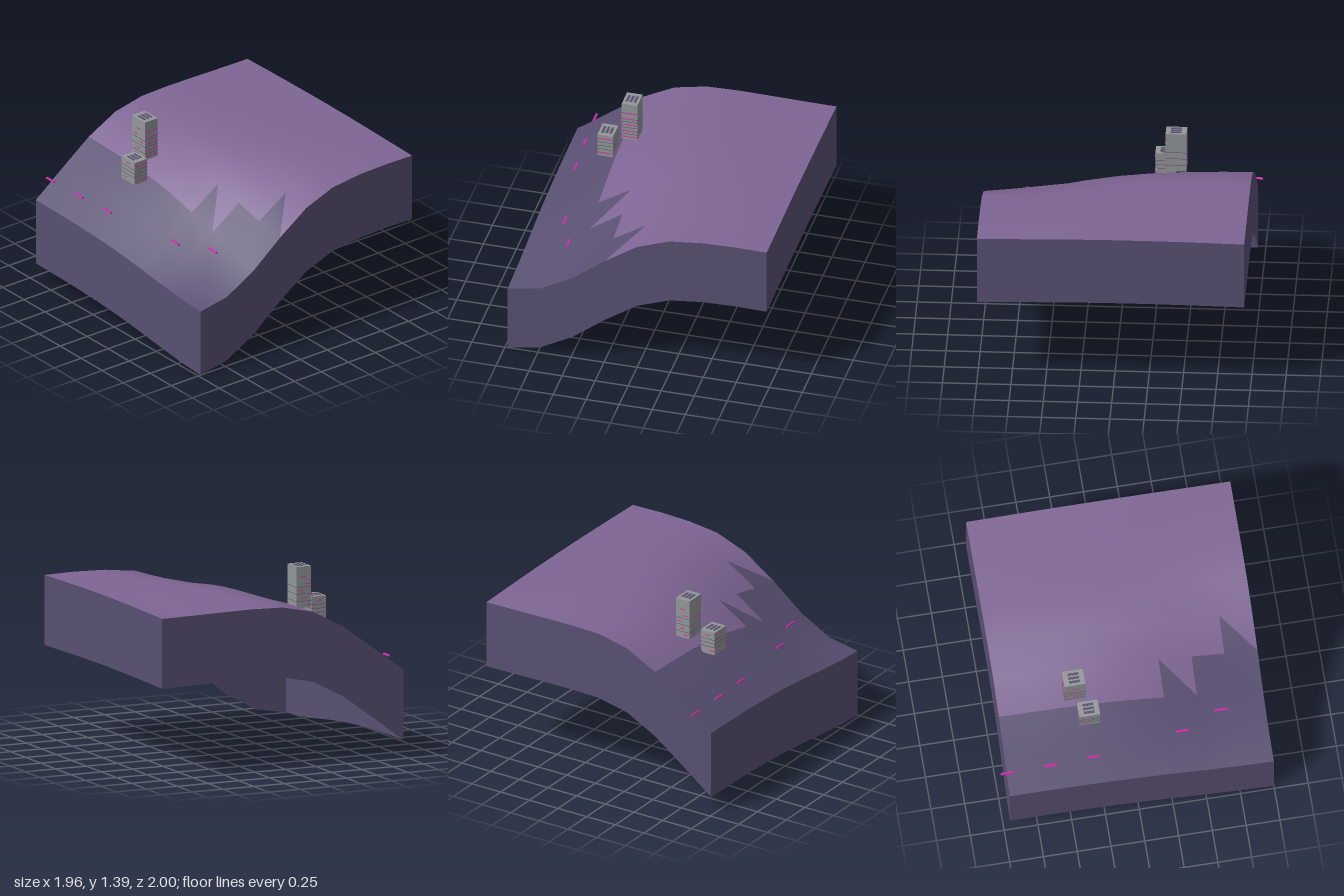
import * as THREE from 'three';

const N = 8, X0 = -0.98, Z0 = -0.955, STEP_X = 1.96 / N, STEP_Z = 1.955 / N, DEPTH = 0.52;

// Height profiles along the front and back edges, blended from row to row
const FRONT = [0.525, 0.57, 0.705, 0.9, 1.068, 1.16, 1.188, 1.195, 1.19];
const BACK = [0.655, 0.84, 1.02, 1.148, 1.2, 1.207, 1.204, 1.2, 1.197];
const BLEND = [1, 0.98, 0.94, 0.86, 0.73, 0.54, 0.31, 0.115, 0]; // back to front

function gridPoint(i, j) {
  const t = i > 0 && i < 5 ? Math.pow(BLEND[j], 0.85) : BLEND[j];
  const swell = i > 3 ? 0.02 * Math.sin(Math.PI * j / N) * (i < 7 ? 1 : 0.6) : 0;
  const edge = j === N ? 0 : swell;
  return [X0 + i * STEP_X, FRONT[i] + (BACK[i] - FRONT[i]) * t + edge, Z0 + j * STEP_Z];
}

function makeGeometry(positions, index) {
  const g = new THREE.BufferGeometry();
  g.setAttribute('position', new THREE.Float32BufferAttribute(positions, 3));
  g.setIndex(index);
  g.computeVertexNormals();
  return g;
}

function material(name, color, doubleSided = false) {
  const m = new THREE.MeshStandardMaterial({ color });
  m.name = name;
  if (doubleSided) m.side = THREE.DoubleSide;
  return m;
}

function addBox(parent, name, mat, size, pos) {
  const mesh = new THREE.Mesh(new THREE.BoxGeometry(...size), mat);
  mesh.name = name;
  mesh.position.set(...pos);
  parent.add(mesh);
  return mesh;
}

// Rolling ground: dark slope and purple plateau share smooth normals
function makeGround(slopeMat, plateauMat) {
  const positions = [], slope = [], plateau = [];
  for (let j = 0; j <= N; j++) for (let i = 0; i <= N; i++) positions.push(...gridPoint(i, j));
  for (let j = 0; j < N; j++) {
    for (let i = 0; i < N; i++) {
      const a = j * (N + 1) + i, b = a + 1, c = a + N + 1, d = c + 1;
      const full = i < 2 || (i === 2 && j >= 6);
      const half = (i === 2 && j === 5) || (i === 3 && j === 7);
      (full || half ? slope : plateau).push(a, c, b);
      (full ? slope : plateau).push(b, c, d);
    }
  }
  const g = makeGeometry(positions, [...slope, ...plateau]);
  g.addGroup(0, slope.length, 0);
  g.addGroup(slope.length, plateau.length, 1);
  const mesh = new THREE.Mesh(g, [slopeMat, plateauMat]);
  mesh.name = 'ground';
  return mesh;
}

// Skirt wall hanging below one edge of the ground
function makeWall(name, mat, edge) {
  const positions = [], index = [];
  for (let k = 0; k <= N; k++) {
    const [x, y, z] = edge(k);
    positions.push(x, y, z, x, y - DEPTH, z);
    if (k < N) {
      const a = 2 * k;
      index.push(a + 1, a + 3, a + 2, a + 1, a + 2, a);
    }
  }
  const mesh = new THREE.Mesh(makeGeometry(positions, index), mat);
  mesh.name = name;
  return mesh;
}

// Tower block with lit bands, floor lines and roof slots
function makeTower(name, mats, { x, z, bottom, top, bands, lines }) {
  const tower = new THREE.Group();
  tower.name = name;
  const w = 0.118, d = 0.153, t = 0.004;
  addBox(tower, 'towerBody', mats.concrete, [w, top - bottom, d], [x, (top + bottom) / 2, z]);
  for (const y of lines) {
    for (const s of [-1, 1]) {
      addBox(tower, 'floorLine', mats.slope, [t, 0.003, d], [x + s * w / 2, y, z]);
      addBox(tower, 'floorLine', mats.slope, [w, 0.003, t], [x, y, z + s * d / 2]);
    }
  }
  bands.forEach((y, k) => {
    const shift = (k % 3 - 1) * 0.03;
    addBox(tower, 'frontLight', mats.light, [w, 0.006, t], [x, y, z + d / 2 + 0.001]);
    addBox(tower, 'backLight', mats.light, [0.04, 0.006, t], [x + shift, y, z - d / 2 - 0.001]);
    addBox(tower, 'sideLight', mats.light, [t, 0.006, 0.04], [x - w / 2 - 0.001, y, z + shift]);
  });
  for (const k of [-1, 0, 1]) {
    addBox(tower, 'roofSlot', mats.slope, [0.018, t, 0.08], [x + k * 0.03, top + 0.001, z]);
  }
  return tower;
}

export function createModel() {
  const model = new THREE.Group();
  model.name = 'terrainTile';
  const mats = {
    slope: material('dark slope', 0x595072, true),
    plateau: material('purple plateau', 0x7e6594, true),
    concrete: material('grey concrete', 0x939798),
    light: material('magenta light', 0xd42fae),
  };

  model.add(makeGround(mats.slope, mats.plateau));
  model.add(makeWall('frontWall', mats.slope, k => gridPoint(k, N)));
  model.add(makeWall('leftWall', mats.slope, k => gridPoint(N, N - k)));
  model.add(makeWall('backWall', mats.slope, k => gridPoint(N - k, 0)));
  model.add(makeWall('rightWall', mats.slope, k => gridPoint(0, k)));

  model.add(makeTower('shortTower', mats, {
    x: -0.574, z: -0.305, bottom: 0.96, top: 1.14,
    bands: [0.99, 1.11], lines: [1.02, 1.05, 1.08],
  }));
  model.add(makeTower('tallTower', mats, {
    x: -0.412, z: -0.388, bottom: 1.08, top: 1.388,
    bands: [1.105, 1.155, 1.21, 1.26, 1.31], lines: [1.13, 1.185, 1.235],
  }));

  // Glowing markers along the slope
  const markers = [[-0.845, 0.778, -0.953], [-0.835, 0.778, -0.63], [-0.82, 0.775, -0.31],
    [-0.72, 0.757, 0.365], [-0.61, 0.778, 0.67]];
  for (const pos of markers) {
    addBox(model, 'slopeMarker', mats.light, [0.016, 0.01, 0.094], pos).rotation.z = -0.3;
  }
  return model;
}
